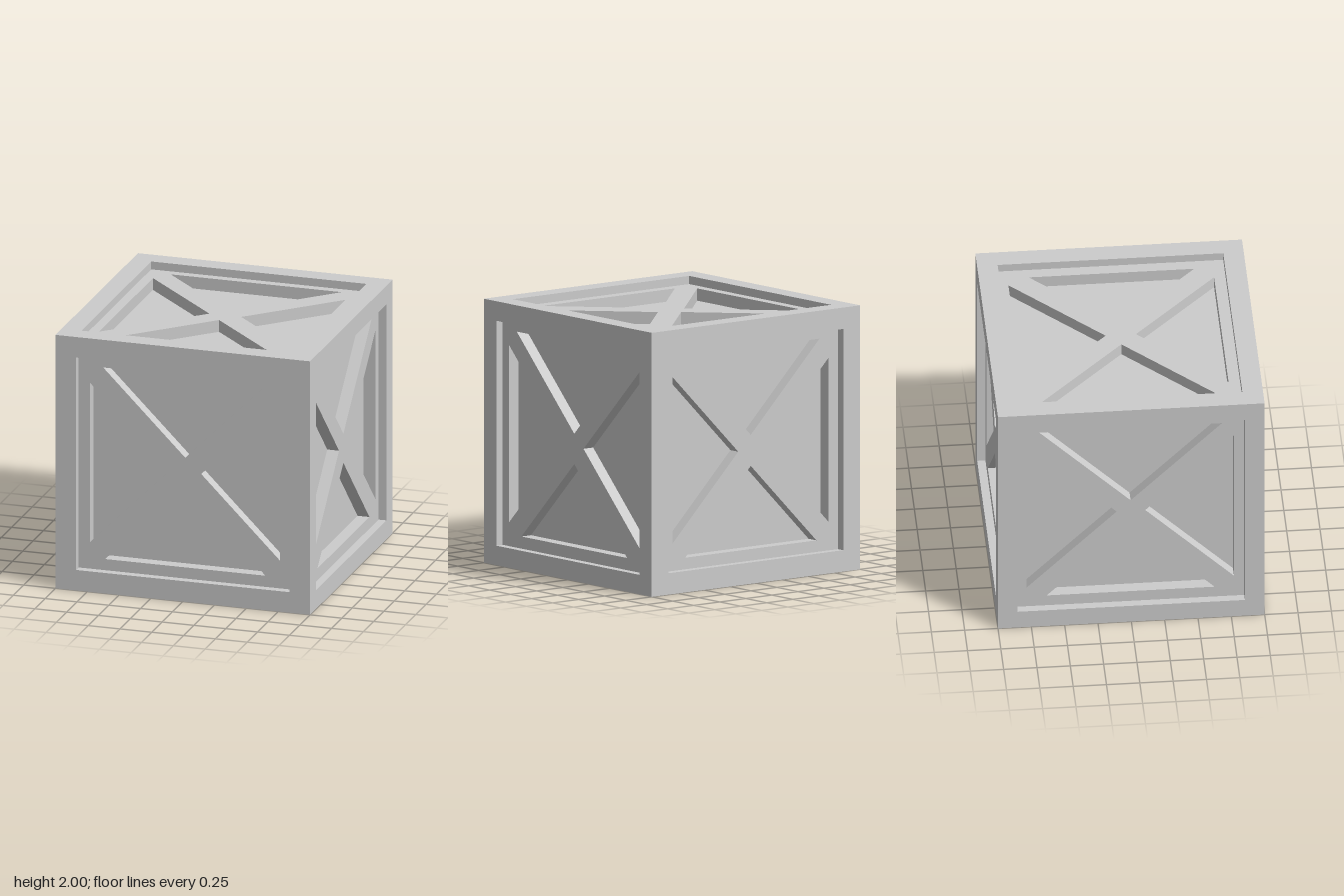
import * as THREE from 'three';
import { mergeGeometries } from 'three/addons/utils/BufferGeometryUtils.js';

const PANEL = 0.938; // height of the cross-braced panel from the cube centre
const FLOOR = 0.845; // height of the sunken triangles

const square = (s) => [[-s, -s], [s, -s], [s, s], [-s, s]].map(([x, y]) => new THREE.Vector2(x, y));

// Triangle pointing at the centre, turned clockwise by quarter turns
function triangle([base, apex], turns) {
  const half = base - apex;
  return [[0, apex], [half, base], [-half, base]].map(([x, y]) => {
    for (let i = 0; i < turns; i++) [x, y] = [y, -x];
    return new THREE.Vector2(x, y);
  });
}

// Flat face at height z, with optional holes
function plate(outline, holes, z) {
  const shape = new THREE.Shape(outline);
  shape.holes = holes.map((h) => new THREE.Path(h));
  return new THREE.ShapeGeometry(shape).translate(0, 0, z);
}

// Inward-facing walls of a recess
function walls(loop, top, low) {
  const pos = [];
  loop.forEach((p, i) => {
    const q = loop[(i + 1) % loop.length];
    pos.push(p.x, p.y, top, q.x, q.y, top, q.x, q.y, low);
    pos.push(p.x, p.y, top, q.x, q.y, low, p.x, p.y, low);
  });
  const geo = new THREE.BufferGeometry();
  geo.setAttribute('position', new THREE.Float32BufferAttribute(pos, 3));
  geo.computeVertexNormals();
  return geo;
}

function join(geos) {
  return mergeGeometries(geos.map((g) => {
    const flat = g.index ? g.toNonIndexed() : g;
    flat.deleteAttribute('uv');
    return flat;
  }));
}

// Triangles as [base, apex] distances: top, right, bottom, left
const frontCut = [[0.76, 0.115], [0.745, 0.125], [0.75, 0.12], [0.75, 0.12]];
const backCut = [[0.775, 0.115], [0.745, 0.125], [0.75, 0.12], [0.75, 0.12]];
const sideCut = [[0.785, 0.1], [0.775, 0.11], [0.76, 0.13], [0.78, 0.105]];
const topCut = [[0.78, 0.108], [0.755, 0.135], [0.76, 0.12], [0.77, 0.115]];

const Q = Math.PI / 2;
const SIDES = [
  ['front', 0, 0, 0.838, frontCut],
  ['back', 0, 2 * Q, 0.838, backCut],
  ['left', 0, Q, 0.852, sideCut],
  ['right', 0, -Q, 0.852, sideCut],
  ['top', -Q, 0, 0.846, topCut],
  ['bottom', Q, 0, 0.846, topCut],
];

export function createModel() {
  const model = new THREE.Group();
  model.name = 'crate';
  const grey = new THREE.MeshStandardMaterial({ color: 0xcccccc });
  grey.name = 'grey';

  for (const [name, rx, ry, inner, cuts] of SIDES) {
    const side = new THREE.Group();
    side.name = `${name}Side`;
    side.position.y = 1;
    side.rotation.set(rx, ry, 0);
    const add = (part, geos) => {
      const mesh = new THREE.Mesh(join(geos), grey);
      mesh.name = part;
      side.add(mesh);
    };

    const opening = square(inner);
    const tris = cuts.map(triangle);
    // Raised border, braced panel and sunken triangles
    add('frame', [plate(square(1), [opening], 1), walls(opening, 1, PANEL)]);
    add('crossBrace', [plate(opening, tris, PANEL), ...tris.map((t) => walls(t, PANEL, FLOOR))]);
    add('sunkenPanels', tris.map((t) => plate(t, [], FLOOR)));
    model.add(side);
  }
  return model;
}
